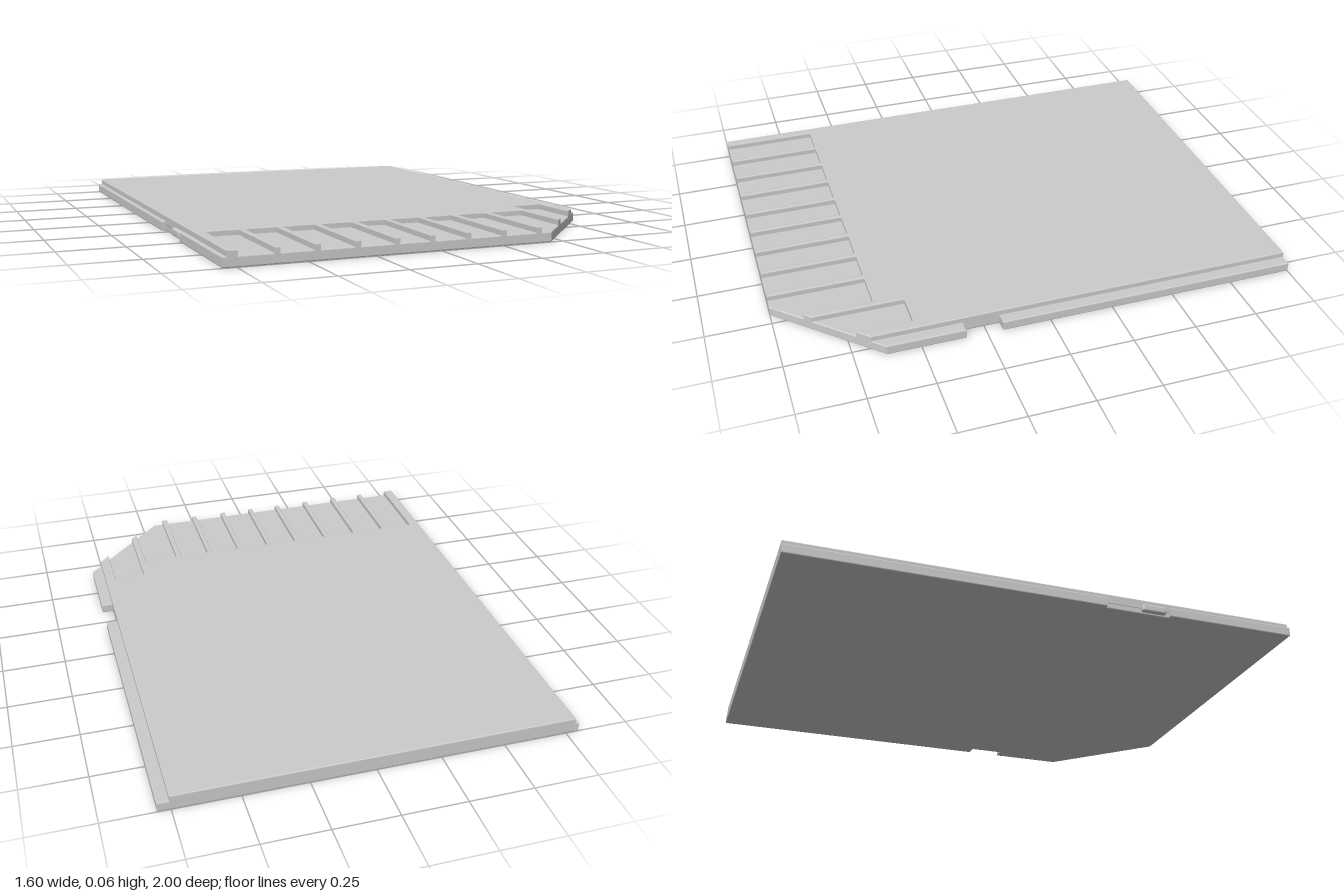
import * as THREE from 'three';
import { RoundedBoxGeometry } from 'three/addons/geometries/RoundedBoxGeometry.js';

const material = new THREE.MeshStandardMaterial({ color: 0xcccccc });

// Extrudes an outline of [x, z] points from y0 to y1 with small bevelled edges.
function slab(name, points, y0, y1, bevel) {
  const shape = new THREE.Shape(points.map(([x, z]) => new THREE.Vector2(x, -z)));
  const geometry = new THREE.ExtrudeGeometry(shape, {
    depth: y1 - y0 - 2 * bevel,
    bevelThickness: bevel,
    bevelSize: bevel,
    bevelOffset: -bevel,
    bevelSegments: 2,
  });
  geometry.rotateX(-Math.PI / 2).translate(0, y0 + bevel, 0);
  const mesh = new THREE.Mesh(geometry, material);
  mesh.name = name;
  return mesh;
}

// Front edge of the card, including the cut corner
const frontZ = (x) => (x < 0.45 ? 1 : 1 - (x - 0.45) * (0.37 / 0.35));

export function createModel() {
  const card = new THREE.Group();
  card.name = 'memoryCard';

  // Wide lower shell with the side notches
  card.add(slab('lowerShell', [
    [-0.8, 1], [0.45, 1], [0.8, 0.63],
    [0.8, 0.33], [0.755, 0.33], [0.755, 0.19], [0.8, 0.19],
    [0.8, -1], [-0.8, -1],
    [-0.8, 0.22], [-0.784, 0.22], [-0.784, 0.48], [-0.8, 0.48],
  ], 0, 0.038, 0.004));

  // Contact slots: left x, right x, inner end z
  const slots = [
    [-0.745, -0.62], [-0.6, -0.478], [-0.455, -0.33], [-0.308, -0.183], [-0.162, -0.045],
    [-0.025, 0.097], [0.117, 0.24], [0.262, 0.387], [0.41, 0.556], [0.582, 0.712, 0.51],
  ];

  // Raised upper shell, its front edge cut into ribs by the open slots
  const outline = [[-0.785, 1]];
  for (const [x0, x1, inner = 0.625] of slots) {
    outline.push([x0, frontZ(x0)], [x0, inner], [x1, inner], [x1, frontZ(x1)]);
  }
  outline.push([0.755, frontZ(0.755)], [0.755, -1], [-0.785, -1]);
  card.add(slab('upperShell', outline, 0.02, 0.06, 0.004));

  // Write-protect slider in the left-hand notch
  const slider = new THREE.Mesh(new RoundedBoxGeometry(0.04, 0.03, 0.1, 2, 0.008), material);
  slider.name = 'lockSlider';
  slider.position.set(-0.78, 0.022, 0.415);
  card.add(slider);

  return card;
}
